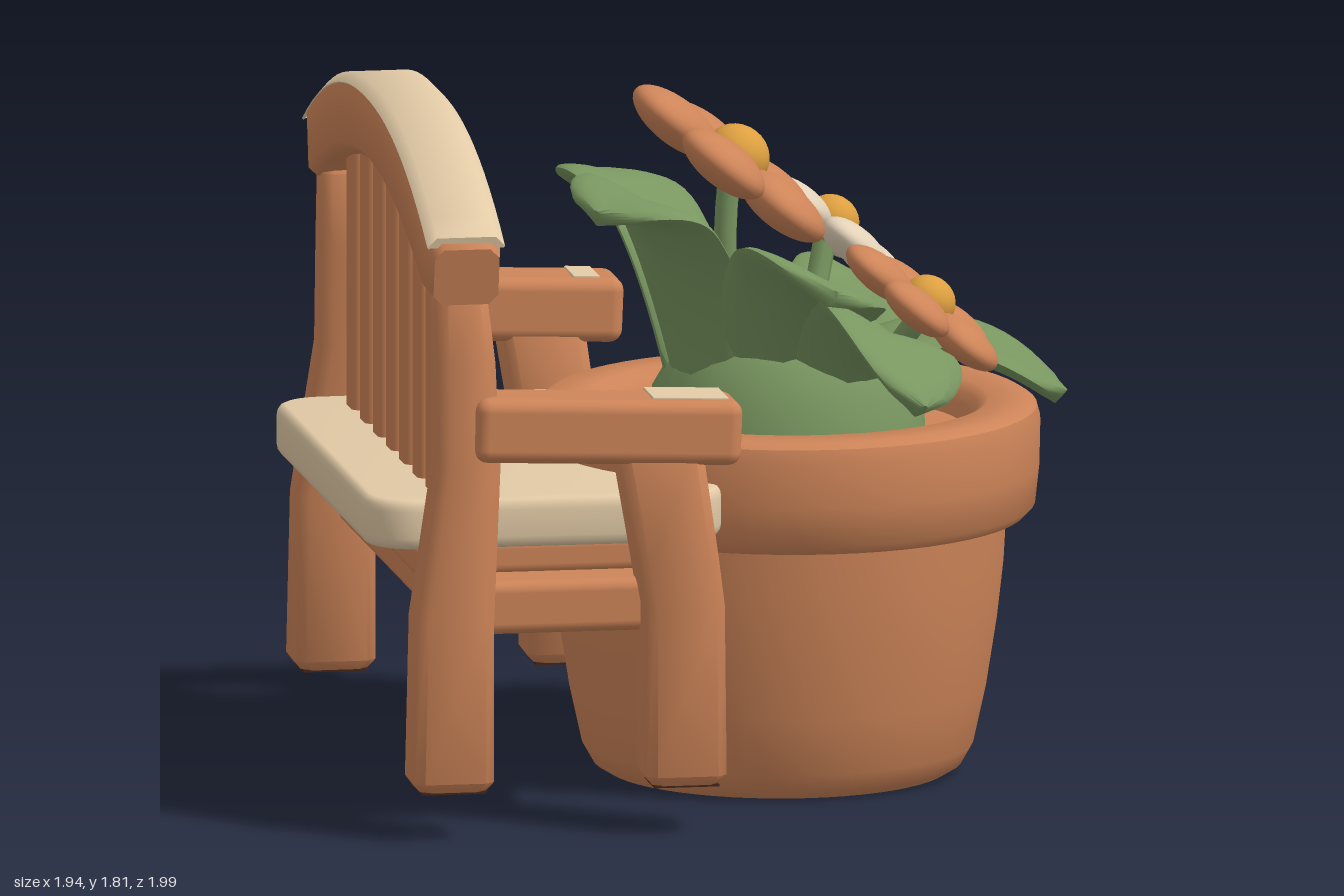
import * as THREE from 'three';
import { toCreasedNormals } from 'three/addons/utils/BufferGeometryUtils.js';
import { RoundedBoxGeometry } from 'three/addons/geometries/RoundedBoxGeometry.js';

const V = (x, y, z) => new THREE.Vector3(x, y, z);
const profile = points => points.map(p => new THREE.Vector2(...p));

function mat(name, color) {
  const m = new THREE.MeshStandardMaterial({ color });
  m.name = name;
  return m;
}

// Skin a row of closed rings, cap both ends, and make sure it faces outward
function loft(rings, crease = 0.9) {
  const n = rings[0].length, pos = [], idx = [];
  rings.forEach(r => r.forEach(p => pos.push(p.x, p.y, p.z)));
  for (let i = 0; i < rings.length - 1; i++) for (let j = 0; j < n; j++) {
    const a = i * n + j, b = i * n + (j + 1) % n;
    idx.push(a, b, a + n, b, b + n, a + n);
  }
  const e = (rings.length - 1) * n;
  for (let j = 1; j < n - 1; j++) idx.push(0, j + 1, j, e, e + j, e + j + 1);
  const P = i => V(pos[3 * i], pos[3 * i + 1], pos[3 * i + 2]);
  let volume = 0;
  for (let i = 0; i < idx.length; i += 3) volume += P(idx[i]).dot(P(idx[i + 1]).cross(P(idx[i + 2])));
  if (volume < 0) idx.reverse();
  const g = new THREE.BufferGeometry();
  g.setAttribute('position', new THREE.Float32BufferAttribute(pos, 3));
  g.setIndex(idx);
  return toCreasedNormals(g, crease);
}

// Rectangle with cut corners, as eight 2D points
const rect = (a0, a1, b0, b1, c) => [
  [a0 + c, b0], [a1 - c, b0], [a1, b0 + c], [a1, b1 - c],
  [a1 - c, b1], [a0 + c, b1], [a0, b1 - c], [a0, b0 + c]];

// Post from stations [y, x0, x1, z0, z1], with softened ends
function post(stations, side) {
  const ring = ([y, x0, x1, z0, z1], inset = 0) =>
    rect(x0 + inset, x1 - inset, z0 + inset, z1 - inset, 0.025).map(([x, z]) => V(x, y, z * side));
  const first = stations[0], last = stations[stations.length - 1];
  const lift = (s, d) => [s[0] + d, ...s.slice(1)];
  return loft([ring(first, 0.018), ring(lift(first, 0.025)), ...stations.slice(1, -1).map(s => ring(s)),
    ring(lift(last, -0.025)), ring(last, 0.018)]);
}

// Cupped leaf along a curve, rolled about its midrib; it swells, then closes to a blunt tip
function leaf(base, mid, tip, width, roll) {
  const curve = new THREE.QuadraticBezierCurve3(V(...base), V(...mid), V(...tip));
  const flat = V(tip[2] - base[2], 0, base[0] - tip[0]).normalize();
  const rings = [];
  for (let i = 0; i <= 20; i++) {
    const t = i / 20, p = curve.getPoint(t), tangent = curve.getTangent(t);
    const side = flat.clone().applyAxisAngle(tangent, roll * Math.min(1, t * 2));
    const normal = tangent.clone().cross(side);
    const w = width * (0.5 + 0.55 * Math.sin(Math.PI * Math.min(t, 0.62) / 1.24))
      * (t > 0.62 ? Math.sqrt(Math.max(0.004, 1 - ((t - 0.62) / 0.38) ** 2)) : 1);
    const ring = [];
    for (let k = 0; k < 16; k++) {
      const a = k / 16 * Math.PI * 2, u = Math.cos(a);
      const lift = Math.sin(a) * (0.04 - 0.015 * t) + 0.28 * w * (Math.abs(u) - 0.5) * (1 - 0.7 * t);
      ring.push(p.clone().addScaledVector(side, u * w).addScaledVector(normal, lift));
    }
    rings.push(ring);
  }
  return loft(rings, 1.2);
}

export function createModel() {
  const model = new THREE.Group();
  model.name = 'benchWithFlowerPot';
  const clay = mat('terracotta', 0xcd8458), cream = mat('cream', 0xe2caa6);
  const green = mat('leafGreen', 0x799660), pale = mat('paleParts', 0xe2d1b8);
  const gold = mat('goldenYellow', 0xdd9f40), dark = mat('darkBase', 0x44241a);

  const add = (parent, name, geometry, material, x = 0, y = 0, z = 0) => {
    const m = new THREE.Mesh(geometry, material);
    m.name = name;
    m.position.set(x, y, z);
    parent.add(m);
    return m;
  };
  const box = (parent, name, material, w, h, d, x, y, z, r = 0.03) =>
    add(parent, name, new RoundedBoxGeometry(w, h, d, 3, r), material, x, y, z);

  // Bench
  const bench = new THREE.Group();
  bench.name = 'bench';
  model.add(bench);
  for (const s of [1, -1]) {
    add(bench, 'backLeg', post([[0.13, -0.89, -0.68, 0.8, 0.99], [0.58, -0.88, -0.68, 0.8, 0.99],
      [0.98, -0.82, -0.66, 0.8, 0.97], [1.25, -0.82, -0.67, 0.8, 0.95], [1.46, -0.82, -0.69, 0.8, 0.93]], s), clay);
    add(bench, 'frontLeg', post([[0.13, -0.28, -0.07, 0.8, 0.99], [0.6, -0.28, -0.075, 0.8, 0.99],
      [0.72, -0.3, -0.09, 0.8, 0.99], [1.03, -0.35, -0.13, 0.8, 0.98]], s), clay);
    for (const x of [-0.785, -0.175]) {
      add(bench, 'footUnderside', new THREE.BoxGeometry(0.17, 0.006, 0.15), dark, x, 0.128, s * 0.895);
    }
    const arm = new THREE.Group();
    arm.name = 'armrest';
    arm.position.set(-0.38, 1.065, s * 0.895);
    arm.rotation.z = -0.04;
    bench.add(arm);
    box(arm, 'armrestBar', clay, 0.7, 0.17, 0.2, 0, 0, 0, 0.035);
    // Worn patch on the armrest end
    if (s > 0) box(arm, 'wornPatch', cream, 0.2, 0.008, 0.15, 0.215, 0.086, -0.02, 0.003);
    else box(arm, 'wornPatch', cream, 0.07, 0.008, 0.14, 0.25, 0.086, 0, 0.003);
  }
  box(bench, 'apron', clay, 0.6, 0.14, 1.74, -0.48, 0.59, 0);
  box(bench, 'seatSupport', clay, 0.76, 0.1, 1.46, -0.47, 0.7, 0);

  // Seat with rounded corners in plan
  const plan = new THREE.Shape();
  plan.absarc(-0.17, 0.64, 0.12, 0, Math.PI / 2);
  plan.absarc(-0.84, 0.64, 0.11, Math.PI / 2, Math.PI);
  plan.absarc(-0.84, -0.64, 0.11, Math.PI, Math.PI * 1.5);
  plan.absarc(-0.17, -0.64, 0.12, Math.PI * 1.5, Math.PI * 2);
  const seat = new THREE.ExtrudeGeometry(plan,
    { depth: 0.07, bevelThickness: 0.03, bevelSize: 0.02, bevelSegments: 3, curveSegments: 8 });
  seat.rotateX(-Math.PI / 2);
  add(bench, 'seat', toCreasedNormals(seat, 0.7), cream, 0, 0.762, 0);

  // Arched top rail with a worn strip over its upper face
  const top = t => 1.81 - 0.24 * Math.abs(t) ** 2.2, bottom = t => 1.61 - 0.22 * t * t;
  const rail = [], strip = [];
  for (let i = 0; i <= 24; i++) {
    const t = i / 12 - 1, inset = i % 24 ? 0 : 0.015;
    const at = (s, lean) => ([x, y]) =>
      V(x, y, 0.97 * s * (1 - lean * (1 - (y - bottom(s)) / (top(s) - bottom(s)))));
    rail.push(rect(-0.85 + inset, -0.65 - inset, bottom(t) + inset, top(t) - inset, 0.025).map(at(t, 0.04)));
    const s = t * 0.98, y1 = top(s);
    strip.push([[-0.852, y1 - 0.022], [-0.827, y1 + 0.004], [-0.673, y1 + 0.004], [-0.648, y1 - 0.022],
      [-0.652, y1 - 0.026], [-0.676, y1 - 0.003], [-0.824, y1 - 0.003], [-0.848, y1 - 0.026]].map(at(s, 0.04)));
  }
  add(bench, 'topRail', loft(rail), clay);
  add(bench, 'topRailWornStrip', loft(strip), cream);
  for (let i = -3; i <= 3; i++) {
    const z = i * 0.198, y1 = bottom(z / 0.97) + 0.06;
    box(bench, 'backSlat', clay, 0.09, y1 - 0.78, 0.115, -0.745, (y1 + 0.78) / 2, z, 0.025);
  }

  // Flower pot, slightly oval, with a thick rim filled with soil
  const pot = new THREE.Group();
  pot.name = 'flowerPot';
  model.add(pot);
  const body = new THREE.LatheGeometry(profile([[0.47, 0], [0.505, 0.02], [0.535, 0.07], [0.57, 0.22],
    [0.6, 0.4], [0.618, 0.55], [0.628, 0.72]]), 56).scale(0.945, 1, 1);
  add(pot, 'potBody', toCreasedNormals(body, 0.7), clay, 0.225, 0, 0.035);
  const underside = new THREE.CircleGeometry(0.47, 56).rotateX(Math.PI / 2).scale(0.945, 1, 1);
  add(pot, 'potUnderside', underside, dark, 0.225, 0, 0.035);
  const rim = new THREE.LatheGeometry(profile([[0.59, 0.69], [0.665, 0.675], [0.69, 0.7], [0.702, 0.8],
    [0.705, 0.92], [0.695, 0.955], [0.67, 0.97], [0.56, 0.97], [0.53, 0.95], [0.515, 0.92], [0.5, 0.885],
    [0, 0.89]]), 56).scale(0.925, 1, 1);
  add(pot, 'potRim', toCreasedNormals(rim, 0.7), clay, 0.252, 0, 0.035);

  // Leaves: base, bend, tip, half width, roll
  const plant = new THREE.Group();
  plant.name = 'plant';
  model.add(plant);
  const heart = profile([[0.36, 0.86], [0.35, 1.0], [0.28, 1.12], [0.17, 1.22], [0, 1.25]]);
  add(plant, 'leafCluster', new THREE.LatheGeometry(heart, 28), green, 0.25, 0, 0.04);
  [
    [[0.3, 0.98, 0.02], [0.65, 1.25, 0.04], [0.95, 0.97, 0.15], 0.22, 0],
    [[0.33, 0.98, 0.2], [0.42, 1.4, 0.5], [0.46, 1.07, 0.84], 0.2, -0.45],
    [[0.18, 0.95, 0.16], [0.22, 1.45, 0.4], [0.24, 1.36, 0.77], 0.2, -0.45],
    [[0.04, 0.9, 0.13], [-0.06, 1.68, 0.2], [-0.32, 1.53, 0.44], 0.2, -0.2],
    [[0.2, 0.95, -0.08], [0.22, 1.42, -0.45], [0.12, 1.15, -0.77], 0.18, 0.4],
    [[0.04, 0.9, -0.06], [-0.02, 1.6, -0.12], [-0.23, 1.48, -0.42], 0.2, 0.2],
    [[0.35, 0.95, -0.1], [0.5, 1.38, -0.32], [0.64, 1.0, -0.56], 0.18, 0.35],
  ].forEach(([a, b, c, w, r]) => add(plant, 'leaf', leaf(a, b, c, w, r), green));

  // Petal: a flattened ball, broader towards its outer end
  const petalShape = new THREE.SphereGeometry(1, 22, 16);
  const pp = petalShape.attributes.position;
  for (let i = 0; i < pp.count; i++) pp.setZ(i, pp.getZ(i) * (1 + 0.2 * pp.getX(i)));
  petalShape.computeVertexNormals();

  // Flowers: five petals around a domed centre, tilted forward on a stem
  function flower(name, material, centre, normal, radius, spin, eye) {
    const stem = new THREE.QuadraticBezierCurve3(V(0.22 + centre[0] * 0.2, 0.95, centre[2] * 0.4),
      V(centre[0] - 0.06, 1.1, centre[2] * 0.8), V(...centre));
    add(plant, name + 'Stem', new THREE.TubeGeometry(stem, 12, 0.03, 8), green);
    const f = new THREE.Group();
    f.name = name;
    const up = V(...normal).normalize(), side = V(0, 0, 1).addScaledVector(up, -up.z).normalize();
    const down = up.clone().cross(side);
    f.quaternion.setFromRotationMatrix(new THREE.Matrix4().makeBasis(down, up, side));
    f.position.set(...centre);
    plant.add(f);
    for (let i = 0; i < 5; i++) {
      const a = spin + i * Math.PI * 0.4;
      const petal = add(f, 'petal', petalShape, material,
        Math.cos(a) * radius * 0.58, 0, -Math.sin(a) * radius * 0.58);
      petal.scale.set(radius * 0.43, radius * 0.19, radius * 0.4);
      petal.rotation.y = a;
    }
    const dome = add(f, 'flowerCentre', new THREE.SphereGeometry(eye, 20, 14), gold, 0, radius * 0.09, 0);
    dome.scale.y = 0.9;
  }
  flower('largeFlower', clay, [0.1, 1.59, 0.05], [0.62, 0.78, 0.03], 0.315, Math.PI, 0.087);
  flower('paleFlower', pale, [0.41, 1.355, -0.275], [0.62, 0.76, -0.08], 0.25, 0, 0.072);
  flower('smallFlower', clay, [0.56, 1.245, 0.315], [0.62, 0.78, 0.06], 0.25, Math.PI, 0.072);
  return model;
}
